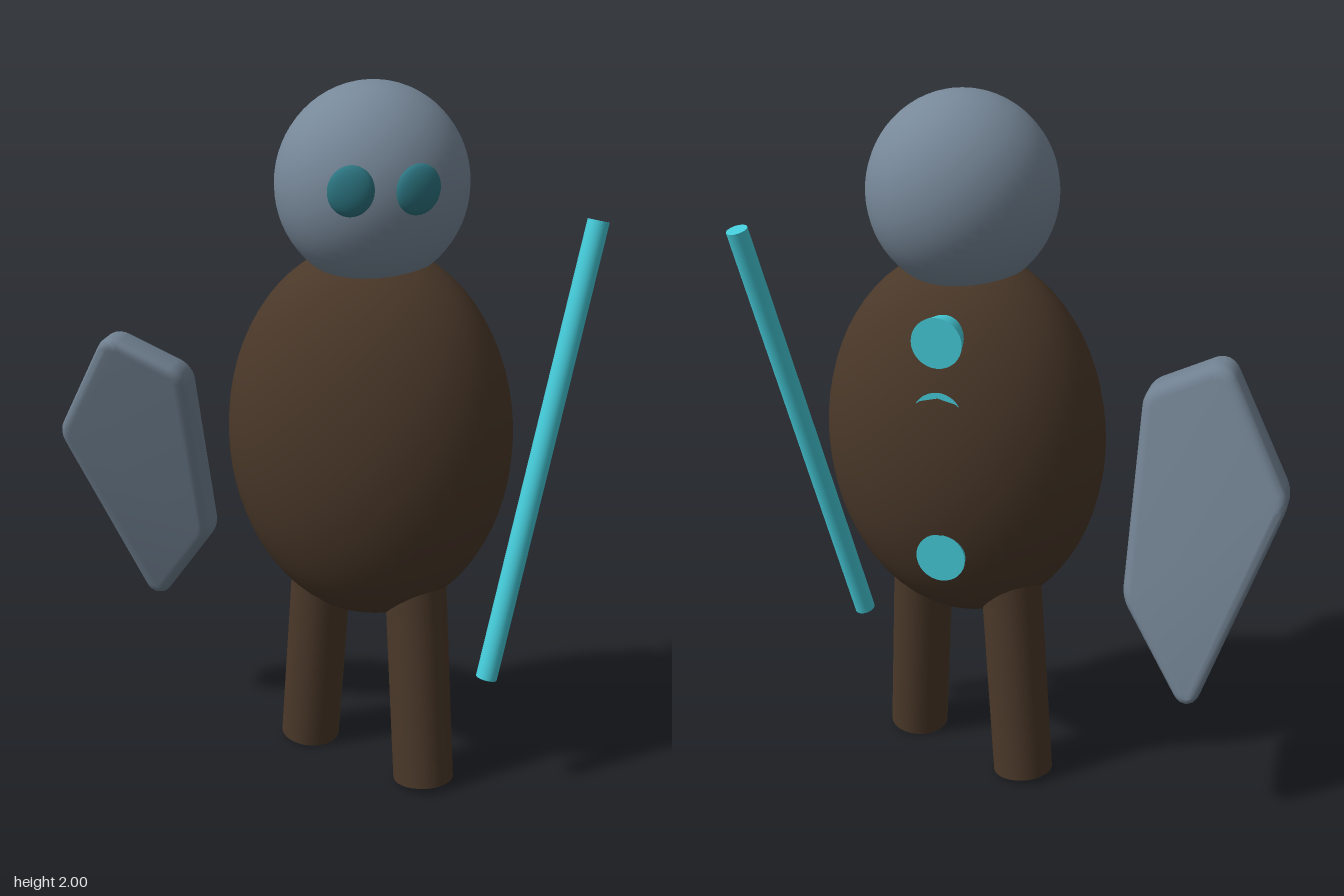
import * as THREE from 'three';
import { toCreasedNormals } from 'three/addons/utils/BufferGeometryUtils.js';

const V = (x, y, z) => new THREE.Vector3(x, y, z);
const mat = (color) => new THREE.MeshStandardMaterial({ color });

// Closed shape through the corners, each corner rounded by distance r
function roundedPolygon(points, r) {
  const shape = new THREE.Shape();
  const n = points.length;
  const p = points.map(([x, y]) => new THREE.Vector2(x, y));
  const toward = (a, b) => a.clone().add(b.clone().sub(a).setLength(r));
  p.forEach((c, i) => {
    const a = toward(c, p[(i + n - 1) % n]);
    const b = toward(c, p[(i + 1) % n]);
    if (i === 0) shape.moveTo(a.x, a.y);
    else shape.lineTo(a.x, a.y);
    shape.quadraticCurveTo(c.x, c.y, b.x, b.y);
  });
  shape.closePath();
  return shape;
}

export function createModel() {
  const group = new THREE.Group();
  const brown = mat(0x4a3829);
  const grey = mat(0x778899);
  const slate = mat(0x708090);
  const cyan = mat(0x45cbd9);
  const teal = mat(0x2c7480);
  const midX = 0.143;

  const add = (name, geometry, material, parent = group) => {
    const mesh = new THREE.Mesh(geometry, material);
    mesh.name = name;
    parent.add(mesh);
    return mesh;
  };
  const ellipsoid = (name, center, radii, material, parent) => {
    const mesh = add(name, new THREE.SphereGeometry(1, 48, 32), material, parent);
    mesh.position.copy(center);
    mesh.scale.copy(radii);
    return mesh;
  };
  // Cylinder running from one point to another
  const rod = (name, from, to, r, material) => {
    const dir = to.clone().sub(from);
    const mesh = add(name, new THREE.CylinderGeometry(r, r, dir.length(), 32), material);
    mesh.position.copy(from).add(to).multiplyScalar(0.5);
    mesh.quaternion.setFromUnitVectors(V(0, 1, 0), dir.normalize());
    return mesh;
  };

  // Body and head, the head turned slightly to its left
  ellipsoid('body', V(midX, 1.03, 0), V(0.4, 0.54, 0.275), brown);
  ellipsoid('head', V(midX, 1.73, 0), V(0.26, 0.27, 0.237), grey).rotation.y = 0.35;

  // Eyes
  ellipsoid('rightEye', V(0.14, 1.757, 0.243), V(0.06, 0.066, 0.026), teal).rotation.set(0, 0.12, -0.25);
  ellipsoid('leftEye', V(0.3, 1.757, 0.178), V(0.06, 0.066, 0.026), teal).rotation.set(0, 0.6, -0.25);

  // Legs in mid stride
  rod('leftLeg', V(0.335, 0.01, 0.09), V(0.284, 0.68, 0.028), 0.087, brown);
  rod('rightLeg', V(-0.049, 0.01, -0.09), V(0.002, 0.68, -0.05), 0.087, brown);

  // Staff held at the left side
  rod('staff', V(0.511, 0.365, 0.108), V(0.728, 1.625, -0.168), 0.03, cyan);

  // Row of round studs along the back
  for (let i = 0; i < 4; i++) {
    const stud = add('backStud', new THREE.CylinderGeometry(0.054, 0.07, 0.08, 32), cyan);
    stud.rotation.x = Math.PI / 2;
    stud.position.set(midX, 1.385 - i * 0.208, -0.215);
  }

  // Five-cornered shield, its top leaning forward
  const bevel = 0.03;
  const outline = [[-0.2, 0.12], [0, -0.425], [0.175, -0.18], [0.165, 0.345], [-0.02, 0.43]];
  const shield = new THREE.ExtrudeGeometry(roundedPolygon(outline, 0.025), {
    depth: 0.12 - 2 * bevel, bevelThickness: bevel, bevelSize: bevel, bevelSegments: 5, curveSegments: 6,
  });
  shield.translate(0, 0, -0.06 + bevel);
  const pos = shield.attributes.position;
  for (let i = 0; i < pos.count; i++) {
    pos.setZ(i, pos.getZ(i) + 0.08 * pos.getX(i) + 0.31 * pos.getY(i));
  }
  add('shield', toCreasedNormals(shield, 0.7), slate).position.set(-0.55, 0.835, -0.055);

  return group;
}
